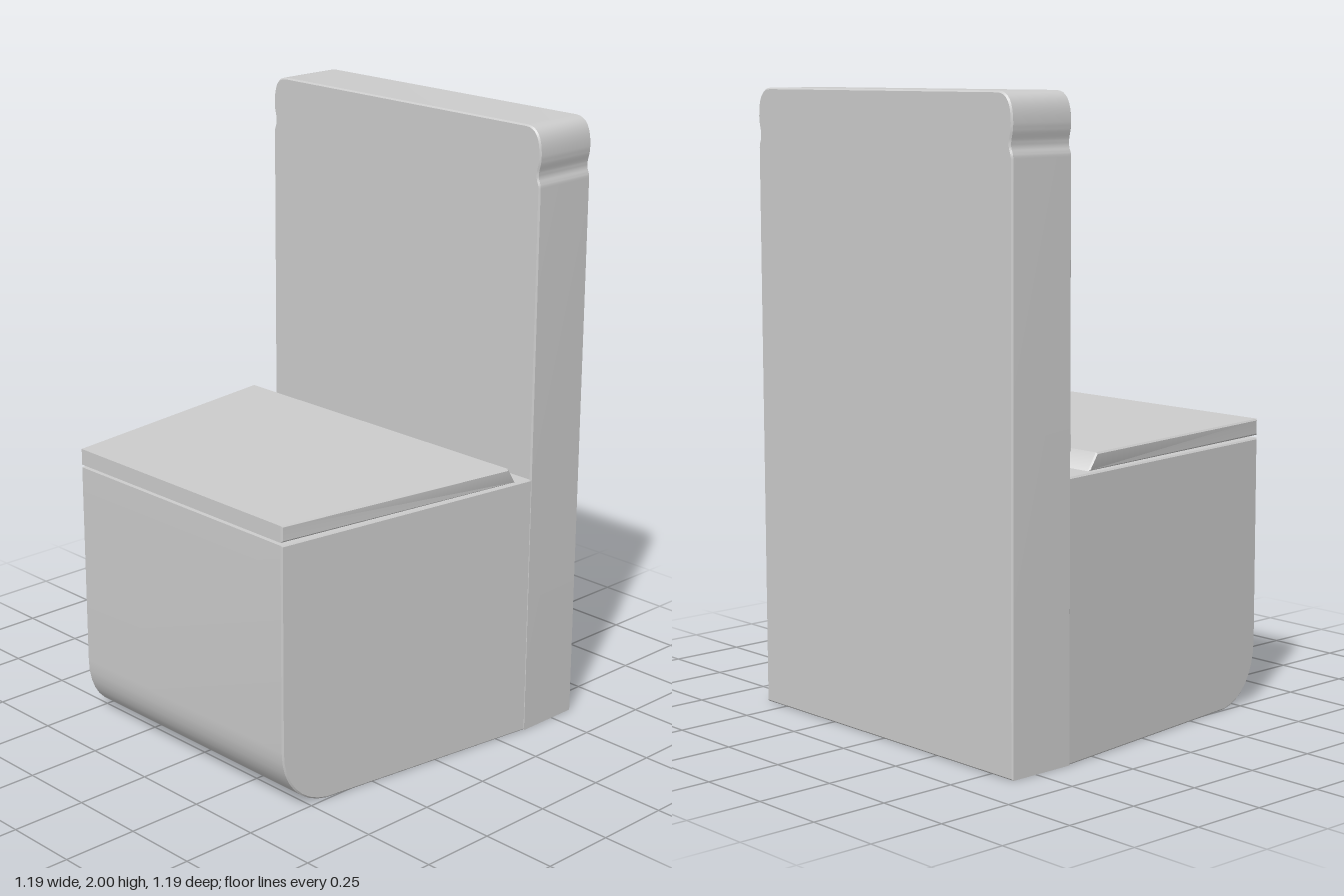
import * as THREE from 'three';
import { toCreasedNormals } from 'three/addons/utils/BufferGeometryUtils.js';

const material = new THREE.MeshStandardMaterial({ color: 0xcccccc });
const BEVEL = 0.005;
const HALF = 0.597; // half width at the back

// Extrude an outline to an exact depth, centred, with a tiny edge bevel inside it
function slab(shape, depth) {
  const geometry = new THREE.ExtrudeGeometry(shape, {
    depth: depth - 2 * BEVEL,
    bevelThickness: BEVEL,
    bevelSize: BEVEL,
    bevelOffset: -BEVEL,
    bevelSegments: 1,
    curveSegments: 8,
  });
  return geometry.translate(0, 0, BEVEL - depth / 2);
}

// Side outline (z, y) extruded across x, narrowing from zWide to the front
function taperedSlab(shape, zWide) {
  const geometry = slab(shape, 2 * HALF).rotateY(-Math.PI / 2);
  const p = geometry.attributes.position;
  for (let i = 0; i < p.count; i++) {
    const t = Math.max(0, (p.getZ(i) - zWide) / (0.595 - zWide));
    p.setX(i, p.getX(i) * (1 - t * (1 - 0.474 / HALF)));
  }
  return geometry;
}

function part(name, geometry) {
  const mesh = new THREE.Mesh(toCreasedNormals(geometry, 0.6), material);
  mesh.name = name;
  return mesh;
}

export function createModel() {
  const model = new THREE.Group();
  model.name = 'toilet';

  // Upright tank: rounded top corners with a shallow groove under them
  const tank = new THREE.Shape();
  tank.moveTo(-HALF, 0);
  tank.lineTo(HALF, 0);
  tank.lineTo(HALF, 1.81);
  tank.bezierCurveTo(HALF, 1.83, 0.588, 1.83, 0.588, 1.85);
  tank.bezierCurveTo(0.588, 1.87, HALF, 1.88, HALF, 1.91);
  tank.bezierCurveTo(HALF, 1.965, 0.58, 2, 0.535, 2);
  tank.lineTo(-0.535, 2);
  tank.bezierCurveTo(-0.58, 2, -HALF, 1.965, -HALF, 1.91);
  tank.bezierCurveTo(-HALF, 1.88, -0.588, 1.87, -0.588, 1.85);
  tank.bezierCurveTo(-0.588, 1.83, -HALF, 1.83, -HALF, 1.81);
  const tankMesh = part('tank', slab(tank, 0.235));
  tankMesh.position.z = -0.4775;
  model.add(tankMesh);

  // Tapered base with a rounded lower front, set slightly into the tank
  const base = new THREE.Shape();
  base.moveTo(-0.375, 0);
  base.lineTo(0.43, 0);
  base.bezierCurveTo(0.53, 0.01, 0.595, 0.09, 0.595, 0.2);
  base.lineTo(0.595, 0.873);
  base.lineTo(-0.375, 0.873);
  model.add(part('base', taperedSlab(base, -0.375)));

  // Lid with a sloping rear edge, above a narrow seam
  const lid = new THREE.Shape();
  lid.moveTo(-0.288, 0.882);
  lid.lineTo(0.595, 0.882);
  lid.lineTo(0.595, 0.935);
  lid.lineTo(-0.255, 0.935);
  model.add(part('lid', taperedSlab(lid, -0.25)));

  return model;
}
